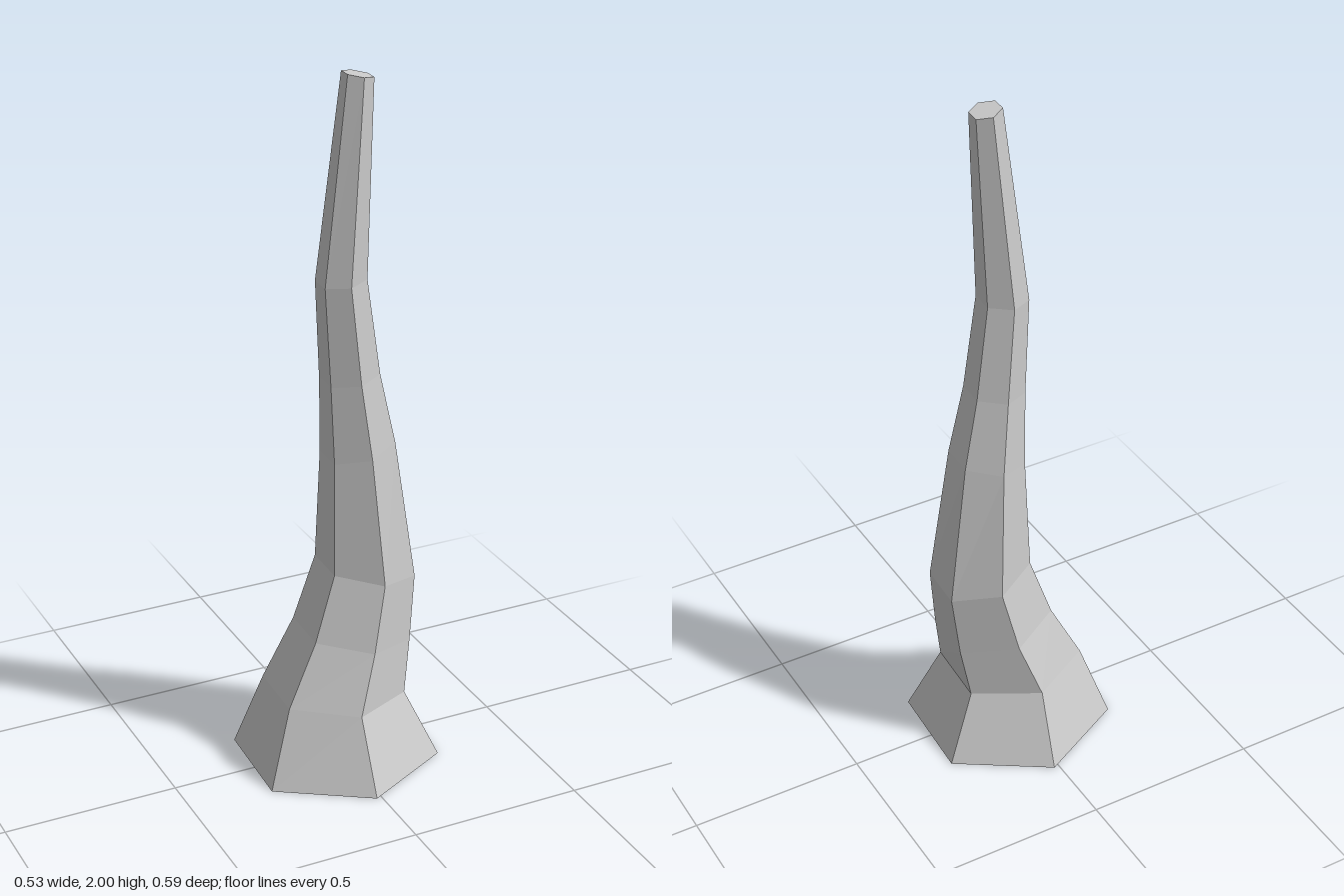
import * as THREE from 'three';

// Rings from top to bottom: centre x, centre y, centre z, radius, sideways tilt
const RINGS = [
  [0.063, 1.992, 0, 0.043, 0.2],
  [0.019, 1.435, -0.005, 0.07, -0.08],
  [0.045, 1.155, -0.006, 0.083, -0.12],
  [0.07, 0.94, -0.007, 0.104, -0.2],
  [0.095, 0.565, -0.008, 0.141, 0.2],
  [0.052, 0.375, -0.005, 0.166, 0.17],
  [-0.006, 0.21, -0.002, 0.203, 0.07],
  [0, 0, 0, 0.296, 0],
];
const TWIST = -0.05;

export function createModel() {
  const group = new THREE.Group();

  // Six-sided column whose rows are bent onto the rings; the caps follow
  const rows = RINGS.length - 1;
  const geometry = new THREE.CylinderGeometry(1, 1, 1, 6, rows, false, TWIST);
  const pos = geometry.attributes.position;
  for (let i = 0; i < pos.count; i++) {
    const [cx, cy, cz, r, tilt] = RINGS[Math.round((0.5 - pos.getY(i)) * rows)];
    const dx = pos.getX(i) * r;
    pos.setXYZ(i, cx + dx, cy - tilt * dx, cz + pos.getZ(i) * r);
  }
  geometry.computeVertexNormals();

  const material = new THREE.MeshStandardMaterial({ color: 0xcccccc, flatShading: true });
  const trunk = new THREE.Mesh(geometry, material);
  trunk.name = 'trunk';
  group.add(trunk);
  return group;
}
